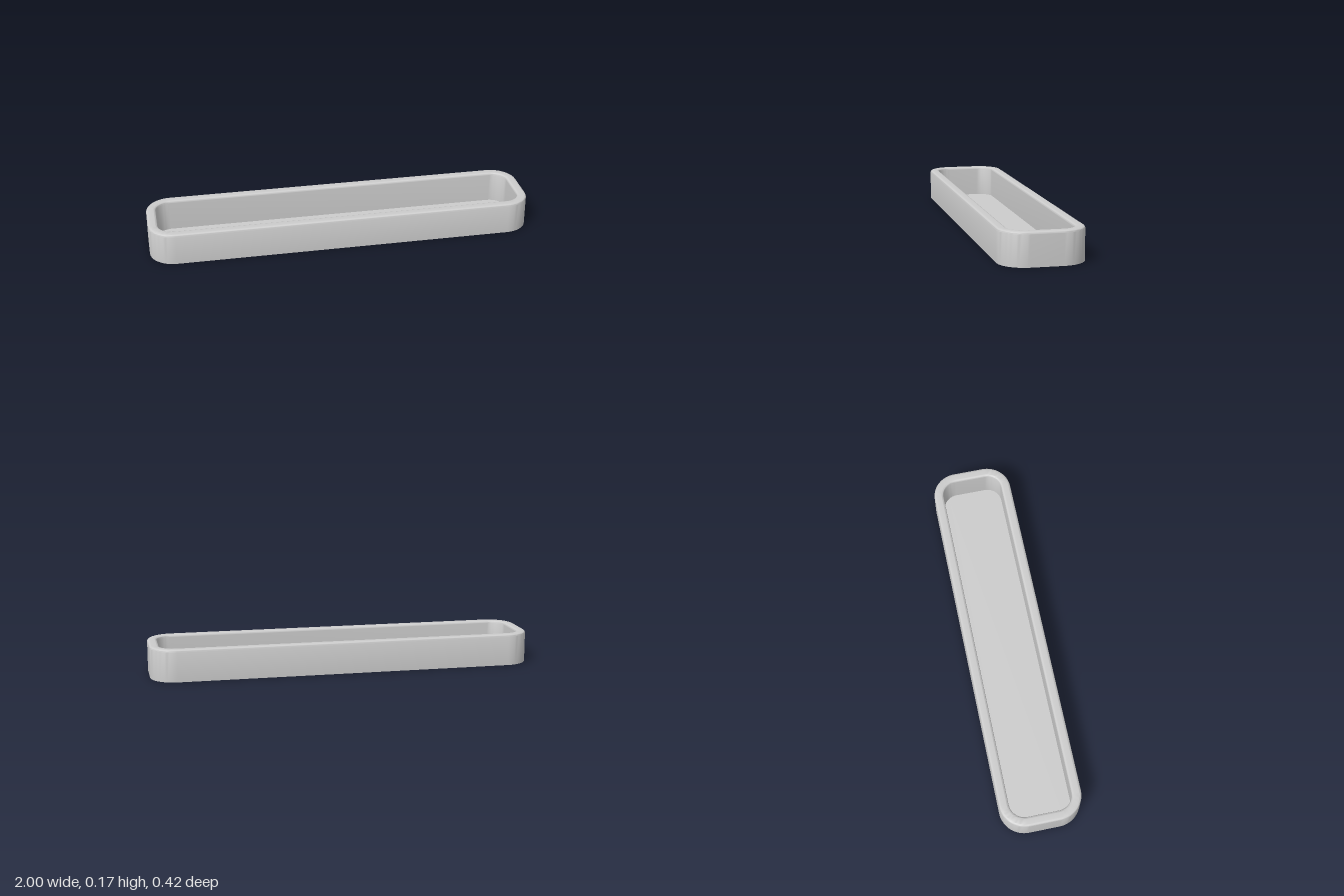
import * as THREE from 'three';
import { toCreasedNormals } from 'three/addons/utils/BufferGeometryUtils.js';

const HALF_X = 1, HALF_Z = 0.21, HEIGHT = 0.165;
const RADIUS = 0.13, WALL = 0.05, FILLET = 0.012;
const CORNER_STEPS = 16;

// Rounded rectangle in plan, moved inward by an inset; returns [x, z] pairs
function outline(inset) {
  const points = [];
  const r = RADIUS - inset;
  const corners = [[1, 1], [-1, 1], [-1, -1], [1, -1]];
  corners.forEach(([sx, sz], c) => {
    for (let i = 0; i <= CORNER_STEPS; i++) {
      const a = (c + i / CORNER_STEPS) * Math.PI / 2;
      points.push([
        sx * (HALF_X - RADIUS) + r * Math.cos(a),
        sz * (HALF_Z - RADIUS) + r * Math.sin(a),
      ]);
    }
  });
  return points;
}

// Wall section as [inset, y]: up the outside, over the soft rim, down the inside
function wallProfile() {
  const profile = [[0, 0]];
  const steps = 6;
  for (let i = 0; i <= steps; i++) {
    const a = i / steps * Math.PI / 2;
    profile.push([FILLET * (1 - Math.cos(a)), HEIGHT - FILLET * (1 - Math.sin(a))]);
  }
  for (let i = 0; i <= steps; i++) {
    const a = i / steps * Math.PI / 2;
    profile.push([WALL - FILLET * (1 - Math.sin(a)), HEIGHT - FILLET * (1 - Math.cos(a))]);
  }
  profile.push([WALL, 0]);
  return profile;
}

// Sweep the section around the outline
function wallGeometry() {
  const positions = [], index = [];
  const profile = wallProfile();
  const n = outline(0).length;
  profile.forEach(([inset, y]) => outline(inset).forEach(([x, z]) => positions.push(x, y, z)));
  for (let j = 0; j < profile.length - 1; j++) {
    for (let i = 0; i < n; i++) {
      const k = (i + 1) % n;
      const a = j * n + i, b = j * n + k, c = a + n, d = b + n;
      index.push(a, c, b, b, c, d);
    }
  }
  const geometry = new THREE.BufferGeometry();
  geometry.setAttribute('position', new THREE.Float32BufferAttribute(positions, 3));
  geometry.setIndex(index);
  return toCreasedNormals(geometry, Math.PI / 5);
}

export function createModel() {
  const group = new THREE.Group();
  group.name = 'tray';
  const material = new THREE.MeshStandardMaterial({ color: 0xcccccc, side: THREE.DoubleSide });

  // Hollow wall, open underneath between its two skins
  const wall = new THREE.Mesh(wallGeometry(), material);
  wall.name = 'wall';

  // Thin floor closing the inner skin
  const shape = new THREE.Shape(outline(WALL).map(([x, z]) => new THREE.Vector2(x, z)));
  const floor = new THREE.Mesh(new THREE.ShapeGeometry(shape).rotateX(-Math.PI / 2), material);
  floor.name = 'floor';

  group.add(wall, floor);
  return group;
}
